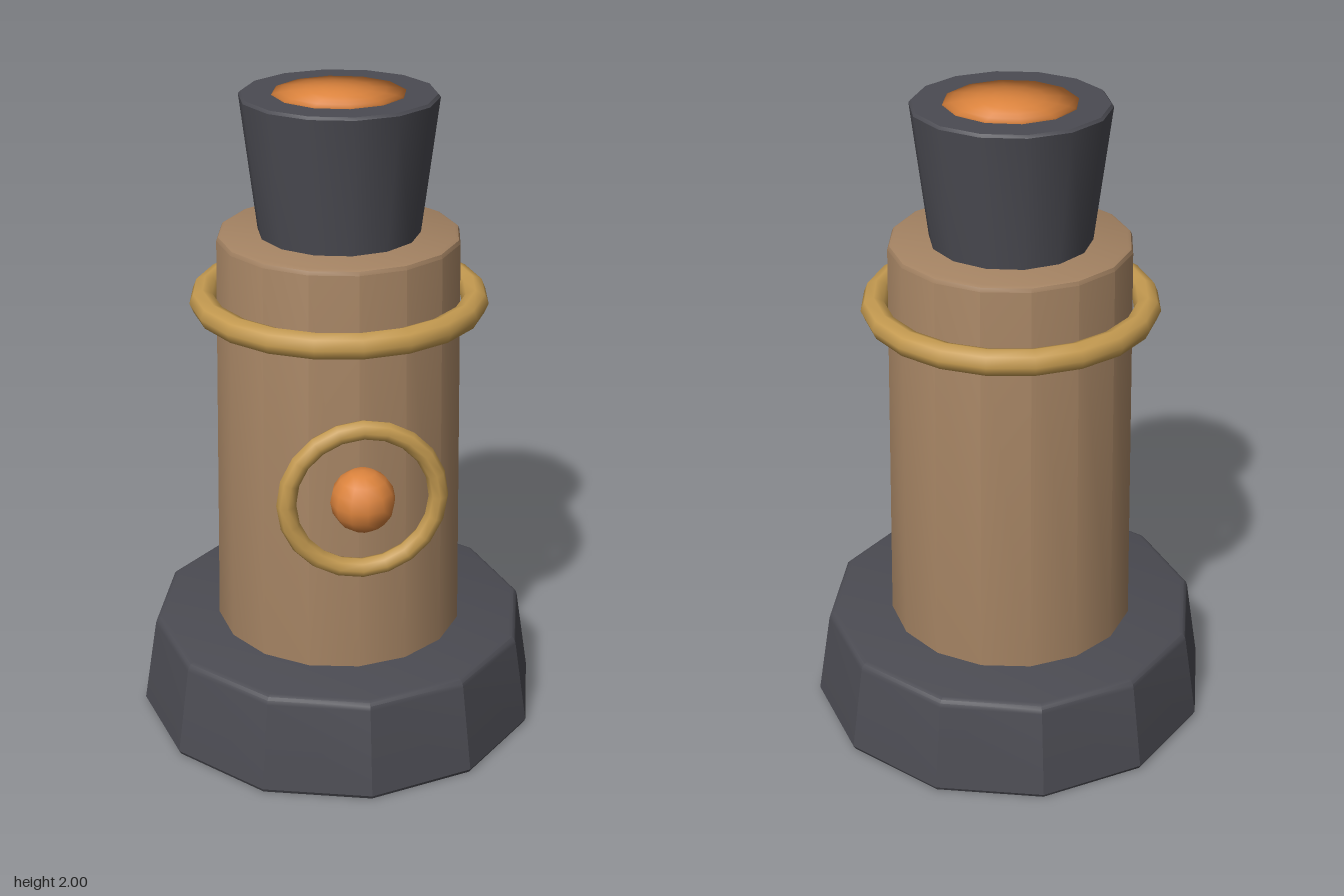
import * as THREE from 'three';
import { toCreasedNormals } from 'three/addons/utils/BufferGeometryUtils.js';

function material(name, color) {
  const m = new THREE.MeshStandardMaterial({ color });
  m.name = name;
  return m;
}

// Turned solid with low side count; corners sharper than ~29 degrees stay crisp
function turned(profile, sides) {
  const points = profile.map(([r, y]) => new THREE.Vector2(r, y));
  return toCreasedNormals(new THREE.LatheGeometry(points, sides), 0.5);
}

export function createModel() {
  const iron = material('dark iron', 0x4b4b52);
  const bronze = material('bronze', 0xa38262);
  const brass = material('brass', 0xc49a50);
  const ember = material('ember orange', 0xdb833d);

  const group = new THREE.Group();
  const add = (name, geometry, mat, x = 0, y = 0, z = 0) => {
    const mesh = new THREE.Mesh(geometry, mat);
    mesh.name = name;
    mesh.position.set(x, y, z);
    group.add(mesh);
    return mesh;
  };

  // Heavy twelve-sided foot with a softened upper rim
  add('base', turned([
    [0, 0], [0.632, 0], [0.638, 0.012], [0.594, 0.285],
    [0.59, 0.298], [0.582, 0.306], [0.57, 0.31], [0, 0.31],
  ], 12), iron);

  // Tapered column
  add('body', turned([
    [0, 0.28], [0.389, 0.28], [0.363, 1.56], [0.358, 1.571], [0.348, 1.576], [0, 1.576],
  ], 16), bronze);

  // Flared chimney
  add('chimney', turned([
    [0, 1.55], [0.238, 1.55], [0.29, 1.978], [0.283, 1.986], [0, 1.986],
  ], 14), iron);

  // Glowing lid: a dome pressed almost flat, keeping its rounded shading
  const dome = new THREE.SphereGeometry(0.197, 12, 6, 0, Math.PI * 2, 0, Math.PI / 2);
  const pos = dome.attributes.position;
  for (let i = 0; i < pos.count; i++) pos.setY(i, pos.getY(i) * 0.076);
  add('emberLid', dome, ember, 0, 1.985, 0);

  // Ring around the column
  add('collarRing', new THREE.TorusGeometry(0.408, 0.04, 8, 20), brass, 0, 1.37, 0)
    .rotation.x = Math.PI / 2;

  // Hand wheel and its knob on the front
  add('wheelRing', new THREE.TorusGeometry(0.222, 0.029, 8, 20), brass, 0, 0.905, 0.438);
  add('wheelKnob', new THREE.SphereGeometry(0.095, 12, 8), ember, 0, 0.905, 0.438);

  return group;
}
